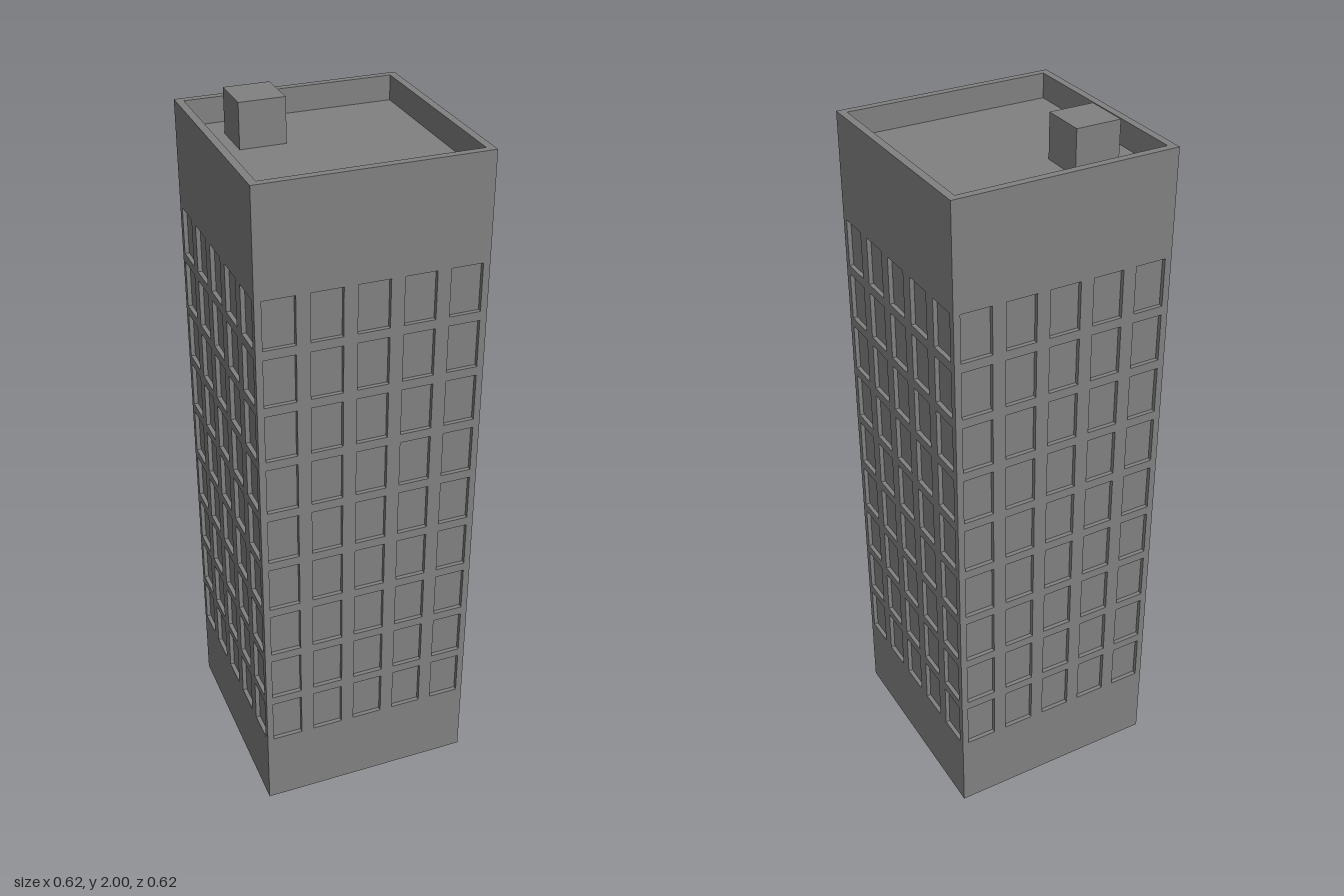
import * as THREE from 'three';

const HALF = 0.311;      // half width of the tower
const ROOF = 1.878;      // roof deck height
const TOP = 1.947;       // parapet top
const RECESS = 0.012;    // window depth
const COLS = 5, ROWS = 9;
const CELL = (2 * HALF) / COLS;
const WIN_W = 0.087, WIN_H = 0.135, FIRST_Y = 0.23, FLOOR = 0.161;

const concrete = new THREE.MeshStandardMaterial({ color: 0x808080 });
concrete.name = 'concrete grey';

function rect(PathType, x0, y0, x1, y1) {
  const p = new PathType();
  p.moveTo(x0, y0);
  p.lineTo(x1, y0);
  p.lineTo(x1, y1);
  p.lineTo(x0, y1);
  p.closePath();
  return p;
}

function addMesh(parent, name, geometry) {
  const mesh = new THREE.Mesh(geometry, concrete);
  mesh.name = name;
  parent.add(mesh);
  return mesh;
}

// Wall panel pierced by the window grid; its outer face lies at z = HALF
function facadeGeometry(halfWidth) {
  const shape = rect(THREE.Shape, -halfWidth, 0, halfWidth, ROOF);
  for (let r = 0; r < ROWS; r++) {
    for (let c = 0; c < COLS; c++) {
      const x = -HALF + (c + 0.5) * CELL;
      const y = FIRST_Y + r * FLOOR;
      shape.holes.push(rect(THREE.Path, x - WIN_W / 2, y, x + WIN_W / 2, y + WIN_H));
    }
  }
  const geometry = new THREE.ExtrudeGeometry(shape, { depth: RECESS, bevelEnabled: false });
  return geometry.translate(0, 0, HALF - RECESS);
}

export function createModel() {
  const tower = new THREE.Group();
  tower.name = 'towerBlock';

  // Core: its sides are the window panes, its top is the roof deck
  const coreWidth = 2 * (HALF - RECESS);
  addMesh(tower, 'core', new THREE.BoxGeometry(coreWidth, ROOF, coreWidth)).position.y = ROOF / 2;

  // Four facades; the side pair fits between the front and back pair
  ['frontFacade', 'leftFacade', 'backFacade', 'rightFacade'].forEach((name, i) => {
    const halfWidth = i % 2 ? HALF - RECESS : HALF;
    addMesh(tower, name, facadeGeometry(halfWidth)).rotation.y = i * Math.PI / 2;
  });

  // Parapet ring around the roof
  const ring = rect(THREE.Shape, -HALF, -HALF, HALF, HALF);
  ring.holes.push(rect(THREE.Path, -0.29, -0.29, 0.29, 0.29));
  const parapet = new THREE.ExtrudeGeometry(ring, { depth: TOP - ROOF, bevelEnabled: false });
  parapet.rotateX(-Math.PI / 2);
  addMesh(tower, 'parapet', parapet).position.y = ROOF;

  // Stair housing on the roof
  const housing = new THREE.BoxGeometry(0.125, 2 - ROOF, 0.125);
  addMesh(tower, 'roofHousing', housing).position.set(-0.147, (2 + ROOF) / 2, -0.142);

  return tower;
}
